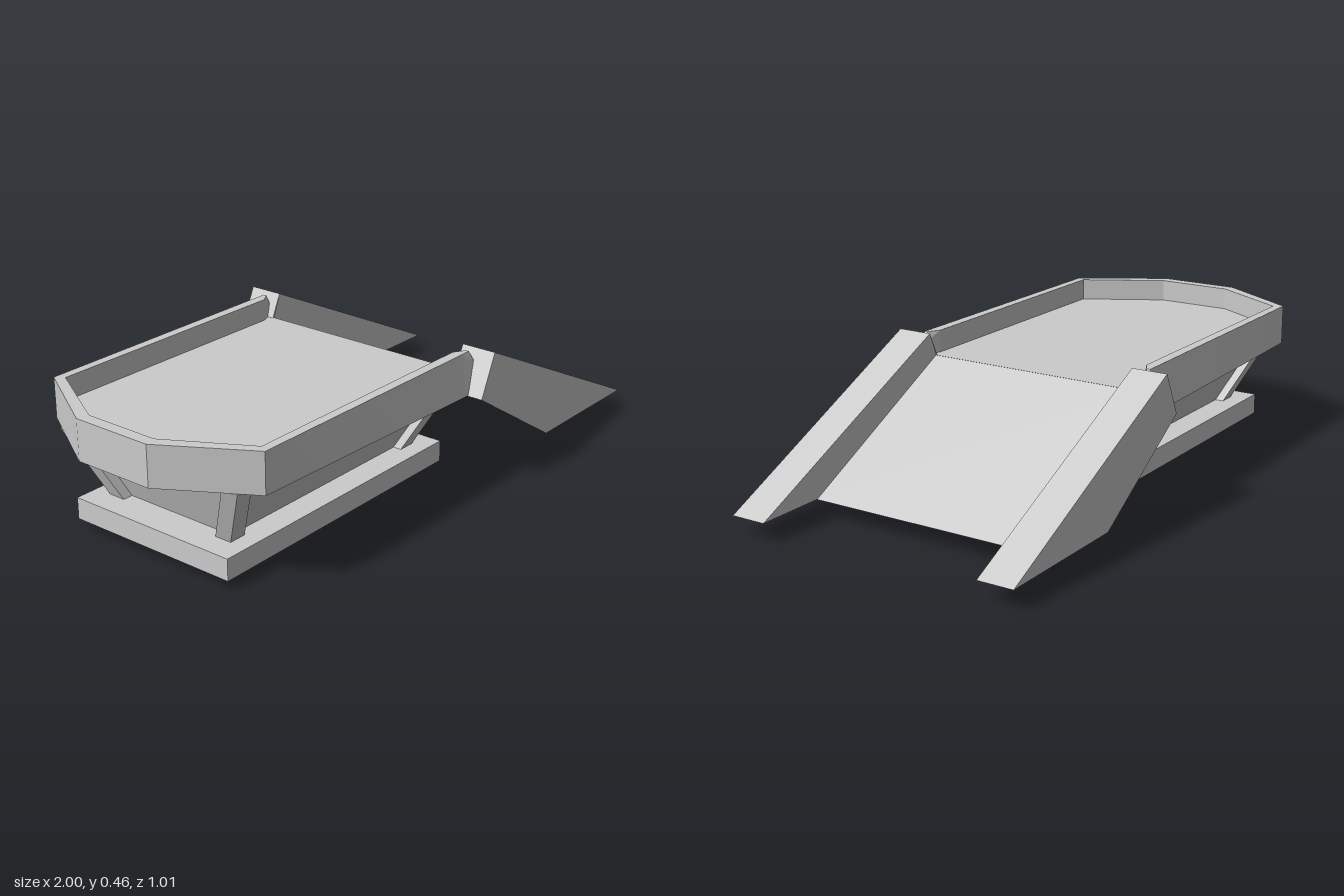
import * as THREE from 'three';
import { ConvexGeometry } from 'three/addons/geometries/ConvexGeometry.js';

const material = new THREE.MeshStandardMaterial({ color: 0xcccccc, flatShading: true });
const sheetMaterial = new THREE.MeshStandardMaterial({ color: 0xcccccc, flatShading: true, side: THREE.DoubleSide });

// Faceted solid spanning a handful of corner points
function solid(name, points) {
  const mesh = new THREE.Mesh(new ConvexGeometry(points.map(p => new THREE.Vector3(...p))), material);
  mesh.name = name;
  return mesh;
}

// Thin four-cornered panel
function panel(name, corners) {
  const geometry = new THREE.BufferGeometry();
  geometry.setAttribute('position', new THREE.Float32BufferAttribute(corners.flat(), 3));
  geometry.setIndex([0, 1, 2, 0, 2, 3]);
  geometry.computeVertexNormals();
  const mesh = new THREE.Mesh(geometry, sheetMaterial);
  mesh.name = name;
  return mesh;
}

// Corners of a level rectangle
const rect = (y, x0, x1, z0, z1) => [[x0, y, z0], [x1, y, z0], [x1, y, z1], [x0, y, z1]];

// A side-view edge a-b [x, y] drawn across from z0 to z1
const across = (a, b, z0, z1) => [[...a, z0], [...b, z0], [...b, z1], [...a, z1]];

export function createModel() {
  const group = new THREE.Group();

  // Stepped base
  group.add(solid('basePad', [...rect(0, -0.745, 0.04, -0.17, 0.17), ...rect(0.028, -0.76, 0.055, -0.185, 0.185)]));
  group.add(solid('basePlate', [...rect(0.028, -0.87, 0.167, -0.31, 0.31), ...rect(0.1, -0.87, 0.167, -0.31, 0.31)]));

  // Recessed body, widening upward
  group.add(solid('body', [...rect(0.1, -0.755, 0.055, -0.22, 0.22), ...rect(0.32, -0.835, 0.135, -0.33, 0.33)]));

  // Leaning corner posts
  const mid = -0.35;
  for (const sx of [-1, 1]) for (const sz of [-1, 1]) {
    group.add(solid('cornerPost', [
      ...rect(0.1, mid + sx * 0.38, mid + sx * 0.44, sz * 0.19, sz * 0.25),
      ...rect(0.32, mid + sx * 0.465, mid + sx * 0.525, sz * 0.3, sz * 0.36),
    ]));
  }

  // Deck floor
  const floorPoints = [];
  for (const s of [-1, 1]) {
    for (const [x, z] of [[-0.98, 0.135], [-0.82, 0.41], [0.1, 0.42]]) {
      floorPoints.push([x, 0.32, s * z], [x, 0.38, s * z]);
    }
    floorPoints.push([0.14, 0.38, s * 0.41]);
  }
  group.add(solid('deckFloor', floorPoints));

  // Rim sections: outer bottom, outer top, inner top, inner bottom
  const front = [[0.1, 0.32, 0.455], [0.1, 0.455, 0.43], [0.1, 0.455, 0.395], [0.1, 0.32, 0.395]];
  const rear = [[-0.83, 0.32, 0.425], [-0.83, 0.455, 0.425], [-0.81, 0.455, 0.395], [-0.81, 0.32, 0.395]];
  const nose = [[-1, 0.32, 0.14], [-1, 0.455, 0.14], [-0.96, 0.455, 0.13], [-0.96, 0.32, 0.13]];
  const end = [[0.105, 0.32, 0.455], [0.138, 0.455, 0.43], [0.138, 0.455, 0.418], [0.11, 0.32, 0.418],
    [0.155, 0.42, 0.44], [0.155, 0.42, 0.418]];

  // The long walls lean out gradually toward the ramp
  const steps = 8;
  const half = [end];
  for (let i = 0; i <= steps; i++) {
    half.push(front.map((p, k) => p.map((v, axis) => v + (rear[k][axis] - v) * i / steps)));
  }
  half.push(nose);
  const flip = section => section.map(([x, y, z]) => [x, y, -z]);
  const path = [...half, ...half.map(flip).reverse()];
  for (let i = 0; i < path.length - 1; i++) {
    group.add(solid('deckRim', [...path[i], ...path[i + 1]]));
  }

  // Thin ramp sheet between two hollow side rails, open underneath
  const rampTop = [0.138, 0.38], rampTip = [0.76, 0.063];
  const crest = [0.17, 0.46], tip = [1, 0.063], heel = [0.51, 0.063], root = [0.105, 0.318];
  group.add(panel('ramp', across(rampTop, rampTip, -0.385, 0.385)));
  for (const s of [-1, 1]) {
    const inner = s * 0.385, outer = s * 0.507;
    group.add(panel('railOuterWall', [crest, tip, heel, root].map(p => [...p, outer])));
    group.add(panel('railInnerWall', [crest, tip, rampTip, rampTop].map(p => [...p, inner])));
    group.add(panel('railTop', across(crest, tip, inner, outer)));
    group.add(panel('railEnd', across(crest, root, inner, outer)));
  }
  return group;
}
